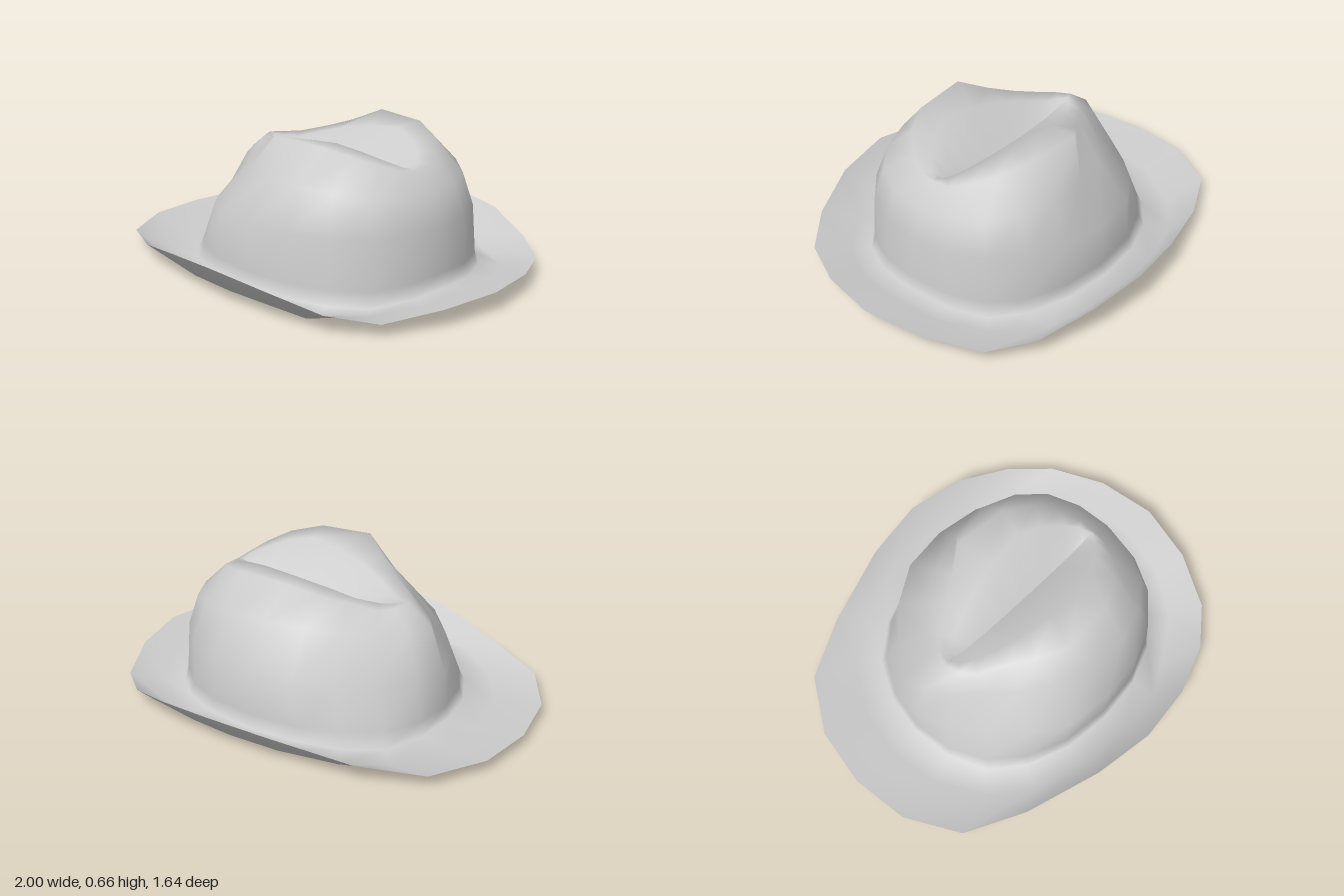
import * as THREE from 'three';

const COLS = 20;

// Each ring lists [x, y, z] for one half, from +x round to -x; it is mirrored over z.
const rim = [[1, .1, 0], [.95, .09, .28], [.83, .065, .53], [.65, .095, .68], [.4, .16, .78], [.12, .19, .82],
  [-.17, .165, .78], [-.53, .095, .67], [-.81, .065, .53], [-.96, .06, .28], [-1, .055, 0]];
const brimDip = [[.84, .07, 0], [.81, .055, .23], [.69, .03, .44], [.47, .003, .6], [.32, .045, .68], [.1, .05, .7],
  [-.15, .05, .69], [-.42, .03, .61], [-.6, .008, .47], [-.74, .02, .24], [-.78, .03, 0]];
const crownBase = [[.725, .045, 0], [.62, .02, .37], [.3, .035, .565], [-.16, .04, .575], [-.51, .01, .38], [-.625, .02, 0]];
const crownFoot = [[.712, .11, 0], [.61, .09, .355], [.3, .1, .55], [-.15, .1, .555], [-.49, .08, .355], [-.612, .08, 0]];
const wall = [[.7, .32, 0], [.6, .32, .34], [.3, .32, .545], [-.13, .32, .55], [-.43, .28, .31], [-.598, .25, 0]];
const shoulder = [[.65, .46, 0], [.56, .47, .31], [.28, .51, .46], [-.1, .5, .39], [-.34, .45, .2], [-.52, .455, 0]];
const ridge = [[.55, .545, 0], [.545, .552, .08], [.5, .585, .17], [.42, .625, .26], [.28, .66, .33], [.02, .668, .352],
  [-.1, .61, .27], [-.2, .575, .2], [-.32, .54, .13], [-.37, .54, .07], [-.4, .545, 0]];
const creaseSide = [[.535, .545, 0], [.46, .585, .1], [.25, .648, .2], [-.07, .595, .15], [-.28, .53, .07], [-.37, .54, 0]];
const crease = [[.52, .54, 0], [.4, .505, 0], [.21, .49, 0], [-.04, .485, 0], [-.25, .505, 0], [-.34, .53, 0]];

// Closed smooth ring through a half outline and its mirror image.
function ringPoints(half) {
  const mirrored = half.slice(1, -1).reverse().map(([x, y, z]) => [x, y, -z]);
  const points = [...half, ...mirrored].map(p => new THREE.Vector3(...p));
  const curve = new THREE.CatmullRomCurve3(points, true, 'catmullrom', 0.5);
  return Array.from({ length: COLS }, (_, i) => curve.getPoint(i / COLS));
}

// Quads joining ring number "from" up to ring number "to".
function loftIndex(from, to) {
  const index = [];
  for (let r = from; r < to; r++) {
    for (let i = 0; i < COLS; i++) {
      const a = r * COLS + i;
      const b = r * COLS + (i + 1) % COLS;
      index.push(a, a + COLS, b, b, a + COLS, b + COLS);
    }
  }
  return index;
}

export function createModel() {
  const hat = new THREE.Group();
  hat.name = 'hat';
  const rings = [rim, brimDip, crownBase, crownFoot, wall, shoulder, ridge, creaseSide, crease];
  const material = new THREE.MeshStandardMaterial({ color: 0xcccccc, side: THREE.DoubleSide });

  // One shared skin gives continuous normals where crown meets brim.
  const skin = new THREE.BufferGeometry().setFromPoints(rings.flatMap(ringPoints));
  skin.setIndex(loftIndex(0, rings.length - 1));
  skin.computeVertexNormals();

  const addPart = (name, from, to) => {
    const geometry = skin.clone();
    geometry.setIndex(loftIndex(from, to));
    const mesh = new THREE.Mesh(geometry, material);
    mesh.name = name;
    hat.add(mesh);
  };
  addPart('brim', 0, 2);
  addPart('crown', 2, 6);
  addPart('crownCrease', 6, 8);
  return hat;
}
